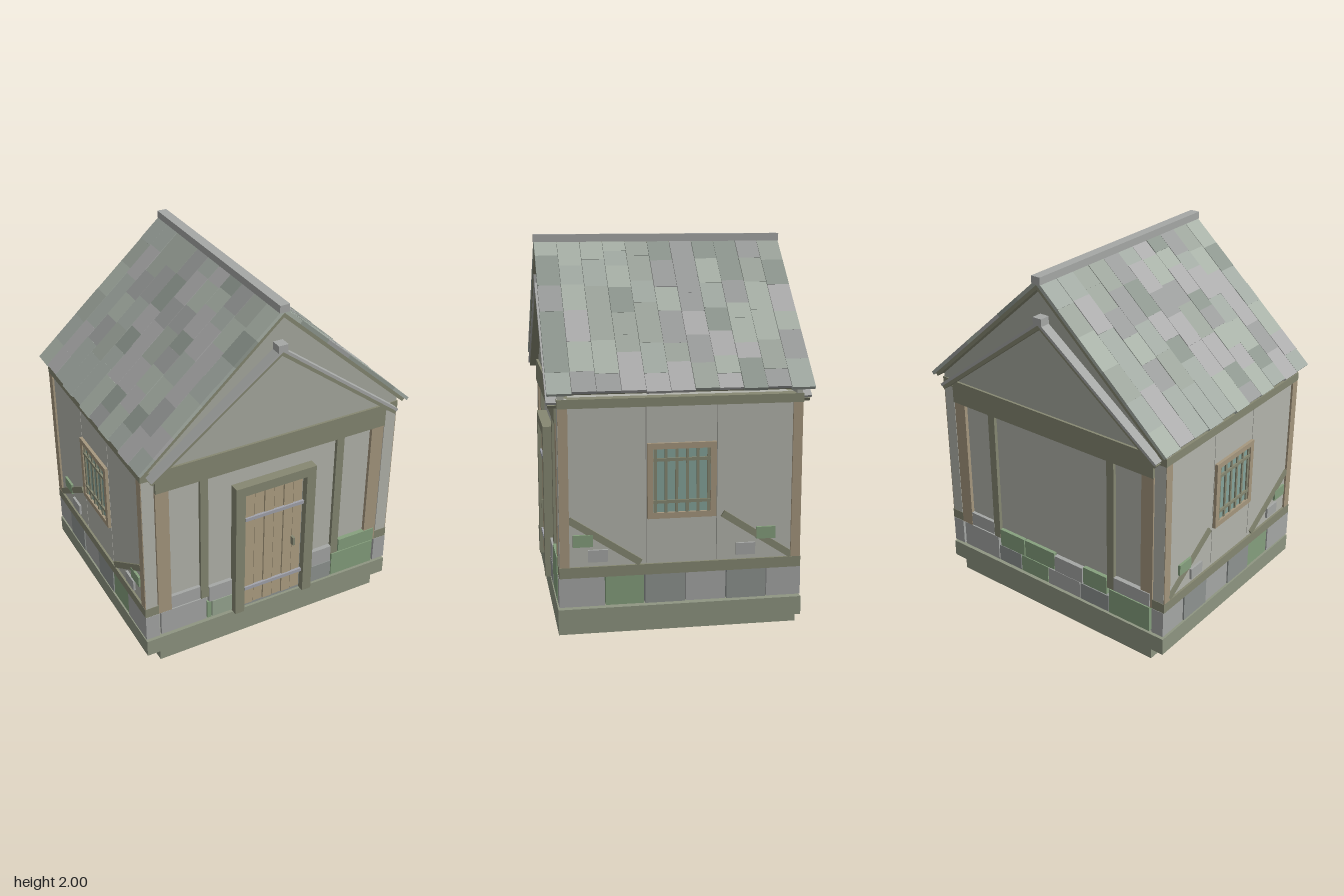
import * as THREE from 'three';

const C = {
  base: 0x8f9682, wall: 0xb4b5ad, gable: 0xa8aaa0, beam: 0x868872, wood: 0xa6987f, door: 0xb0a184,
  iron: 0xa2a4ac, glass: 0x86a59c, stone: 0xa6a8a6, stoneDark: 0x8f9491, green: 0x86a07e, greenPale: 0x98a892,
};
const mats = {};
const mat = (color) => (mats[color] ??= new THREE.MeshStandardMaterial({ color, flatShading: true }));

// Box given by its min and max along each axis
function box(parent, name, [x0, x1], [y0, y1], [z0, z1], color) {
  const m = new THREE.Mesh(new THREE.BoxGeometry(x1 - x0, y1 - y0, z1 - z0), mat(color));
  m.position.set((x0 + x1) / 2, (y0 + y1) / 2, (z0 + z1) / 2);
  m.name = name;
  parent.add(m);
  return m;
}

function group(parent, name) {
  const g = new THREE.Group();
  g.name = name;
  parent.add(g);
  return g;
}

function seeded(seed) {
  return () => (seed = (seed * 16807) % 2147483647) / 2147483647;
}

// One roof slope, built along local x from the ridge; turned by PI for the other side
function roofSlope(parent, name, turn, rnd) {
  const pivot = group(parent, name);
  pivot.rotation.y = turn;
  const slope = group(pivot, 'slopePlane');
  slope.position.y = 1.985;
  slope.rotation.z = -Math.atan2(0.715, 0.795);
  const L = 1.065, rows = 11, w = 1.34 / rows;
  box(slope, 'roofDeck', [0, L - 0.02], [-0.04, -0.02], [-0.665, 0.665], C.beam);
  const tints = [0x9ea69d, 0xa9b2a8, 0x8f9890, 0xadadad, 0x9c9e9d, 0xa3aba4];
  for (let r = 0; r < rows; r++) {
    const z = -0.67 + r * w;
    const end = L - 0.012 * rnd();
    let s = 0;
    while (s < end) {
      let e = s + 0.1 + 0.12 * rnd();
      if (e > end - 0.07) e = end;
      const top = -0.004 * rnd();
      box(slope, 'roofTile', [s, e], [-0.021, top], [z + 0.001, z + w - 0.001], tints[Math.floor(rnd() * tints.length)]);
      s = e;
    }
  }
}

// Gable wall, beam, columns and small rafters shared by front and back (faces +z)
function gableEnd(parent) {
  const tri = new THREE.Shape([[-0.75, 1.235], [0.75, 1.235], [0.75, 1.265], [0, 1.945], [-0.75, 1.265]]
    .map((p) => new THREE.Vector2(...p)));
  const wall = new THREE.Mesh(new THREE.ExtrudeGeometry(tri, { depth: 0.03, bevelEnabled: false }), mat(C.gable));
  wall.position.z = 0.585;
  wall.name = 'gableWall';
  parent.add(wall);
  box(parent, 'crossBeam', [-0.68, 0.68], [1.105, 1.235], [0.56, 0.628], C.beam);
  for (const s of [-1, 1]) {
    const side = (a, b) => (s > 0 ? [a, b] : [-b, -a]);
    box(parent, 'cornerPanel', side(0.685, 0.752), [0.38, 1.235], [0.57, 0.618], C.wall);
    box(parent, 'outerColumn', side(0.605, 0.68), [0.33, 1.105], [0.57, 0.62], C.wood);
    box(parent, 'innerColumn', side(0.385, 0.43), [0.33, 1.105], [0.57, 0.62], C.beam);
    const rafter = group(parent, 'gableRafter');
    rafter.position.set(0, 1.765, 0);
    rafter.rotation.z = -s * Math.atan2(0.55, 0.73);
    box(rafter, 'rafterBoard', side(0, 0.915), [-0.034, -0.015], [0.61, 0.662], C.beam);
    box(rafter, 'rafterCover', side(0, 0.91), [-0.015, 0], [0.61, 0.67], C.stone);
  }
  box(parent, 'rafterCap', [-0.027, 0.027], [1.745, 1.785], [0.61, 0.672], C.stone);
}

// Stones as [u0, u1, y0, y1, color] laid on the end wall
function endStones(parent, list) {
  for (const [a, b, y0, y1, c] of list) {
    box(parent, 'stone', [a + 0.003, b - 0.003], [y0, y1], [0.57, 0.622 + ((a * 37) % 1) * 0.004], c);
  }
}

function door(parent) {
  const g = group(parent, 'door');
  for (const s of [-1, 1]) {
    box(g, 'doorPost', s > 0 ? [0.185, 0.24] : [-0.24, -0.185], [0.17, 1.0], [0.59, 0.655], C.beam);
  }
  box(g, 'doorLintel', [-0.185, 0.185], [0.945, 1.0], [0.59, 0.655], C.beam);
  box(g, 'doorBacking', [-0.185, 0.185], [0.17, 0.945], [0.59, 0.615], C.stoneDark);
  for (let i = 0; i < 6; i++) {
    const x = -0.175 + i * 0.0585;
    box(g, 'doorPlank', [x, x + 0.054], [0.2, 0.93], [0.6, 0.635 - (i % 2) * 0.004], C.door);
  }
  for (const y of [0.315, 0.78]) box(g, 'doorStrap', [-0.178, 0.178], [y - 0.01, y + 0.01], [0.63, 0.645], C.iron);
  box(g, 'doorHandle', [0.108, 0.122], [0.52, 0.57], [0.63, 0.66], C.beam);
}

// Side wall built for +x, with z running along the wall; flip mirrors it for -x
function sideWall(parent, name, flip) {
  const g = group(parent, name);
  const bx = (n, x0, x1, y, z, c) => box(g, n, flip ? [-x1, -x0] : [x0, x1], y, z, c);
  // Foundation stones
  const cuts = [0.625, 0.39, 0.19, -0.02, -0.23, -0.44, -0.625];
  const cols = [C.stone, C.green, C.stoneDark, C.stone, C.stoneDark, C.stone];
  cols.forEach((c, i) => bx('stone', 0.68, 0.757 - (i % 2) * 0.004, [0.18, 0.33], [cuts[i + 1] + 0.003, cuts[i] - 0.003], c));
  // Wall panels and timber frame
  for (const [a, b] of [[-0.575, -0.182], [-0.178, 0.178], [0.182, 0.575]]) {
    bx('wallPanel', 0.69, 0.745, [0.38, 1.19], [a, b], C.wall);
  }
  bx('sillBeam', 0.68, 0.757, [0.33, 0.385], [-0.62, 0.62], C.beam);
  bx('topBeam', 0.69, 0.757, [1.19, 1.235], [-0.62, 0.62], C.beam);
  for (const s of [-1, 1]) {
    bx('cornerPost', 0.71, 0.756, [0.33, 1.19], s > 0 ? [0.568, 0.617] : [-0.617, -0.568], C.wood);
  }
  // Diagonal braces and loose wall stones
  for (const z of [0.39, -0.39]) {
    const b = bx('brace', 0.725, 0.756, [0.495, 0.53], [z - 0.215, z + 0.215], C.beam);
    b.rotation.x = -Math.atan2(0.235, 0.36);
  }
  for (const [z, y, c] of [[0.5, 0.52, C.green], [0.425, 0.44, C.stone], [-0.435, 0.52, C.green], [-0.33, 0.44, C.stone]]) {
    bx('wallStone', 0.73, 0.758, [y - 0.031, y + 0.031], [z - 0.05, z + 0.05], c);
  }
  // Barred window
  bx('windowGlass', 0.72, 0.748, [0.64, 0.985], [-0.15, 0.15], C.glass);
  for (const s of [-1, 1]) {
    bx('windowJamb', 0.72, 0.762, [0.62, 1.005], s > 0 ? [0.145, 0.175] : [-0.175, -0.145], C.wood);
  }
  bx('windowSill', 0.72, 0.762, [0.62, 0.65], [-0.145, 0.145], C.wood);
  bx('windowHead', 0.72, 0.762, [0.975, 1.005], [-0.145, 0.145], C.wood);
  for (let i = 0; i < 6; i++) {
    const z = -0.135 + i * 0.054;
    bx('windowBar', 0.745, 0.756, [0.65, 0.975], [z - 0.007, z + 0.007], C.beam);
  }
  for (const y of [0.705, 0.92]) bx('windowCrossBar', 0.745, 0.759, [y - 0.008, y + 0.008], [-0.145, 0.145], C.beam);
}

export function createModel() {
  const house = new THREE.Group();
  house.name = 'stoneHouse';
  const rnd = seeded(4217);

  // Stepped foundation
  box(house, 'footing', [-0.68, 0.68], [0.005, 0.075], [-0.62, 0.62], C.base);
  box(house, 'footingCore', [-0.45, 0.45], [0, 0.06], [-0.42, 0.42], C.base);
  box(house, 'plinth', [-0.757, 0.757], [0.07, 0.167], [-0.627, 0.627], C.base);
  box(house, 'wallCore', [-0.7, 0.7], [0.16, 1.235], [-0.6, 0.6], C.wall);

  sideWall(house, 'leftWall', false);
  sideWall(house, 'rightWall', true);

  // Front with door
  const front = group(house, 'front');
  gableEnd(front);
  door(front);
  endStones(front, [
    [-0.67, -0.395, 0.18, 0.328, C.stone], [-0.67, -0.43, 0.335, 0.415, C.stone],
    [0.39, 0.67, 0.18, 0.328, C.green], [0.43, 0.67, 0.335, 0.415, C.green],
    [-0.395, -0.365, 0.18, 0.29, C.green], [-0.365, -0.24, 0.18, 0.285, C.greenPale],
    [-0.385, -0.24, 0.29, 0.39, C.stone], [0.24, 0.39, 0.18, 0.285, C.stoneDark], [0.24, 0.385, 0.29, 0.39, C.stone],
  ]);

  // Back with a plain wall above two stone courses (local x is mirrored)
  const back = group(house, 'back');
  back.rotation.y = Math.PI;
  gableEnd(back);
  endStones(back, [
    [-0.67, -0.4, 0.18, 0.328, C.stone], [-0.67, -0.43, 0.335, 0.415, C.stone],
    [-0.4, -0.23, 0.18, 0.28, C.stoneDark], [-0.385, -0.2, 0.285, 0.39, C.green],
    [-0.23, -0.03, 0.18, 0.28, C.green], [-0.2, 0.02, 0.285, 0.39, C.green],
    [-0.03, 0.2, 0.18, 0.28, C.stone], [0.02, 0.22, 0.285, 0.38, C.stone],
    [0.2, 0.4, 0.18, 0.28, C.stoneDark], [0.22, 0.385, 0.285, 0.39, C.green],
    [0.4, 0.67, 0.18, 0.328, C.green], [0.43, 0.67, 0.335, 0.415, C.stone],
  ]);

  // Tiled roof and ridge
  const roof = group(house, 'roof');
  roofSlope(roof, 'leftRoofSlope', 0, rnd);
  roofSlope(roof, 'rightRoofSlope', Math.PI, rnd);
  box(roof, 'ridgeCap', [-0.027, 0.027], [1.96, 2.0], [-0.672, 0.672], C.stone);
  return house;
}
